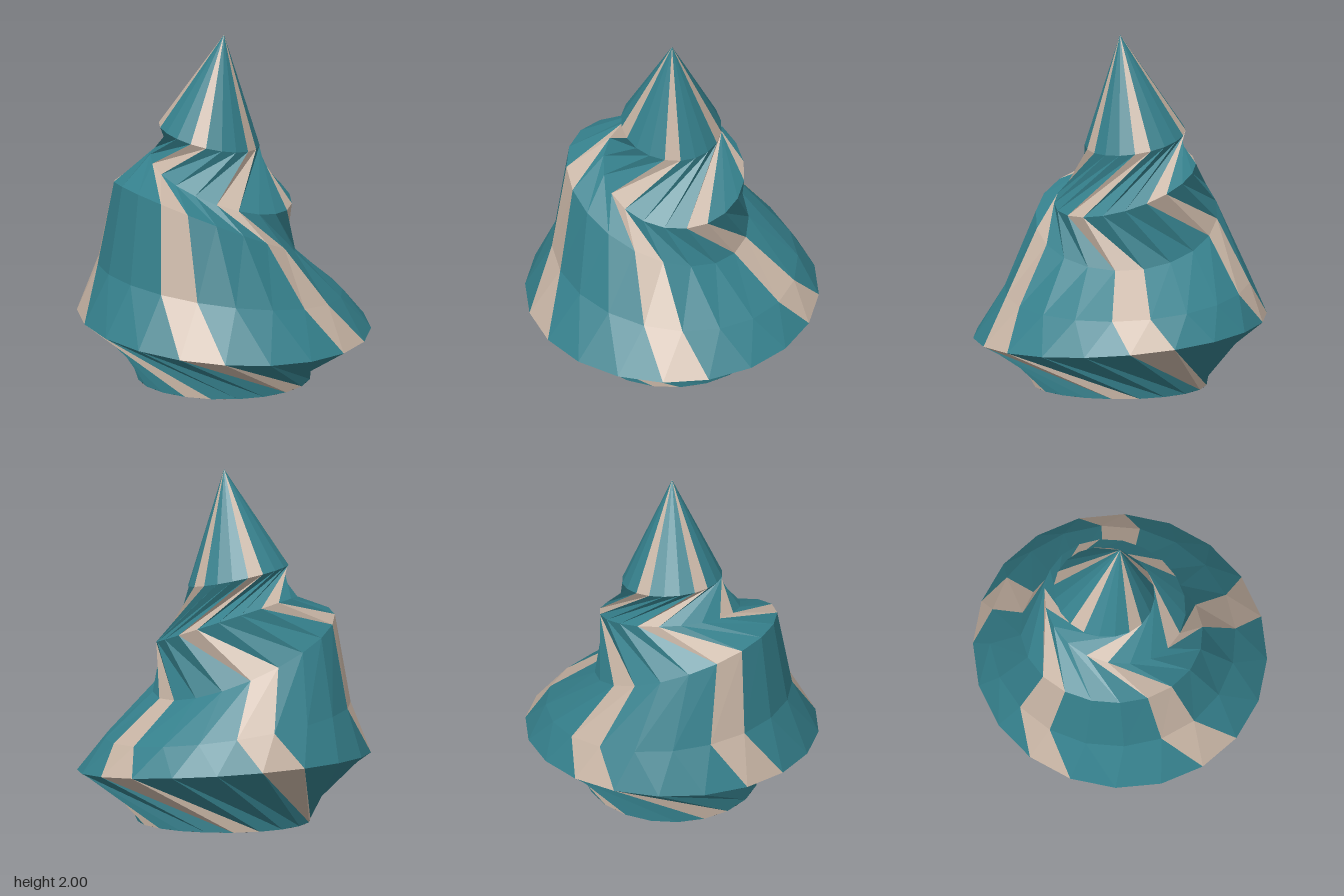
import * as THREE from 'three';

const SIDES = 20;

// Tilted rings, bottom to top: radius, centre x/z, twist in degrees,
// and the plane y = h + sx * x + sz * z the ring lies in
const RINGS = [
  { r: 0.49, cx: 0, cz: 0, twist: -63, h: 0, sx: 0, sz: 0 },
  { r: 0.83, cx: 0, cz: 0, twist: 0, h: 0.335, sx: -0.073, sz: -0.035 },
  { r: 0.695, cx: -0.028, cz: -0.03, twist: 11, h: 0.572, sx: -0.13, sz: 0.05 },
  { r: 0.515, cx: -0.105, cz: 0.043, twist: 11, h: 0.9, sx: -0.358, sz: 0.266 },
  { r: 0.4, cx: -0.02, cz: -0.02, twist: 58, h: 1.14, sx: -0.35, sz: -0.07 },
  { r: 0.285, cx: -0.09, cz: -0.035, twist: 4, h: 1.385, sx: -0.22, sz: 0 },
  { r: 0, cx: 0, cz: 0, twist: 4, h: 2, sx: 0, sz: 0 },
];

function ringPoint(ring, i) {
  const a = THREE.MathUtils.degToRad(9 + (i * 360) / SIDES + ring.twist);
  const x = ring.cx + ring.r * Math.cos(a);
  const z = ring.cz + ring.r * Math.sin(a);
  return [x, ring.h + ring.sx * x + ring.sz * z, z];
}

// Faceted strips running from the base to the tip, for the chosen columns
function stripes(name, color, includesColumn) {
  const pos = [];
  for (let k = 0; k < RINGS.length - 1; k++) {
    const low = RINGS[k], up = RINGS[k + 1];
    for (let i = 0; i < SIDES; i++) {
      if (!includesColumn(i)) continue;
      const a = ringPoint(low, i), b = ringPoint(low, i + 1);
      const c = ringPoint(up, i), d = ringPoint(up, i + 1);
      pos.push(...a, ...c, ...b);
      if (up.r > 0) pos.push(...b, ...c, ...d);
    }
  }
  const geo = new THREE.BufferGeometry();
  geo.setAttribute('position', new THREE.Float32BufferAttribute(pos, 3));
  geo.computeVertexNormals();
  const mesh = new THREE.Mesh(geo, new THREE.MeshStandardMaterial({ color, flatShading: true }));
  mesh.name = name;
  return mesh;
}

export function createModel() {
  const group = new THREE.Group();
  group.name = 'twistedCone';

  // Twisted body: every fourth column is a pale stripe
  group.add(stripes('tealBody', 0x35808c, (i) => i % 4 !== 0));
  group.add(stripes('paleStripes', 0xc8b5a5, (i) => i % 4 === 0));

  // Black bevel leading into the hollow underside
  const bevel = new THREE.Mesh(
    new THREE.CylinderGeometry(0.39, 0.485, 0.09, 40, 1, true),
    new THREE.MeshStandardMaterial({ color: 0x0c0c0c, side: THREE.DoubleSide })
  );
  bevel.name = 'baseBevel';
  bevel.position.y = 0.045;
  group.add(bevel);

  // Grey plate closing the underside
  const plate = new THREE.Mesh(
    new THREE.CircleGeometry(0.39, 40).rotateX(Math.PI / 2),
    new THREE.MeshStandardMaterial({ color: 0xcccccc })
  );
  plate.name = 'basePlate';
  plate.position.y = 0.09;
  group.add(plate);

  return group;
}
